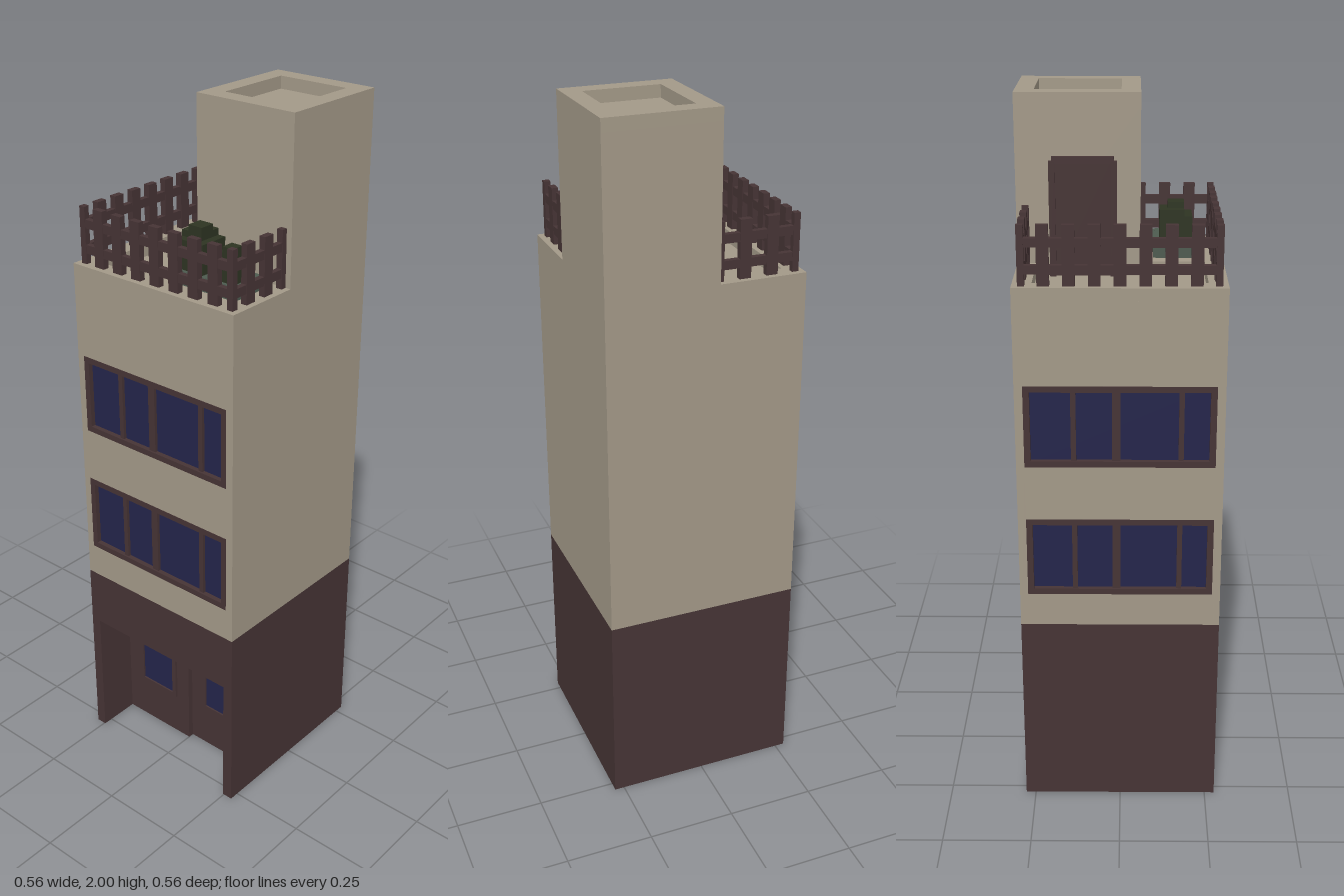
import * as THREE from 'three';

const HALF = 0.278, BASE_TOP = 0.573, ROOF = 1.55, UNIT = 0.017, SINK = 0.034;

const paint = (name, color) => {
  const m = new THREE.MeshStandardMaterial({ color });
  m.name = name;
  return m;
};

export function createModel() {
  const wall = paint('beige wall', 0xa39988);
  const brown = paint('dark brown', 0x463435);
  const glass = paint('navy glass', 0x24254b);
  const bed = paint('grey green planter', 0x4d5b50);
  const leaf = paint('dark leaf', 0x2d3422);

  const model = new THREE.Group();
  model.name = 'towerHouse';
  const group = (name, parent = model) => {
    const g = new THREE.Group();
    g.name = name;
    parent.add(g);
    return g;
  };
  const add = (name, geometry, material, parent = model) => {
    const m = new THREE.Mesh(geometry, material);
    m.name = name;
    parent.add(m);
    return m;
  };
  // Box given by its limits on each axis
  const box = (name, x0, x1, y0, y1, z0, z1, material, parent) => {
    const m = add(name, new THREE.BoxGeometry(x1 - x0, y1 - y0, z1 - z0), material, parent);
    m.position.set((x0 + x1) / 2, (y0 + y1) / 2, (z0 + z1) / 2);
    return m;
  };
  const rect = (Type, a0, a1, b0, b1) => {
    const p = new Type();
    p.moveTo(a0, b0);
    p.lineTo(a1, b0);
    p.lineTo(a1, b1);
    p.lineTo(a0, b1);
    p.closePath();
    return p;
  };
  // Plan shape (x, z) raised from y0 to y1
  const plan = (name, shape, y0, y1, material) => {
    const geo = new THREE.ExtrudeGeometry(shape, { depth: y1 - y0, bevelEnabled: false });
    geo.rotateX(Math.PI / 2).translate(0, y1, 0);
    return add(name, geo, material);
  };

  // Ground floor with the entrance recess on the -x side
  const foot = new THREE.Shape([
    [-HALF, -HALF], [HALF, -HALF], [HALF, HALF], [-HALF, HALF],
    [-HALF, 0.247], [-0.135, 0.247], [-0.135, -0.247], [-HALF, -0.247],
  ].map(([x, z]) => new THREE.Vector2(x, z)));
  plan('groundFloor', foot, 0, 0.4, brown);
  box('groundFloorTop', -HALF, HALF, 0.4, BASE_TOP, -HALF, HALF, brown);

  // Pair of sliding entrance doors, one leaf in front of the other
  for (const side of [-1, 1]) {
    const door = group(side < 0 ? 'frontDoorLeaf' : 'rearDoorLeaf');
    const x = side < 0 ? -0.152 : -0.135;
    const mid = side * 0.121;
    if (side < 0) box('leaf', x, -0.135, 0, 0.4, -0.247, 0, brown, door);
    box('doorGlass', x - 0.003, x, 0.15, 0.31, mid - 0.061, mid + 0.061, glass, door);
    for (const s of [-1, 1]) {
      const z = mid + s * 0.067;
      box('glassTrim', x - 0.008, x, 0.137, 0.323, z - 0.007, z + 0.007, brown, door);
      const y = 0.23 + s * 0.087;
      box('glassTrim', x - 0.008, x, y - 0.007, y + 0.007, mid - 0.061, mid + 0.061, brown, door);
    }
  }

  // Upper floors: solid core plus two walls pierced by window bands
  const inner = HALF - UNIT;
  box('upperFloors', -inner, HALF, BASE_TOP, ROOF - SINK, -inner, HALF, wall);
  const rows = [[0.67, 0.9], [1.055, 1.285]];
  for (const [name, turn] of [['backWall', Math.PI], ['leftWall', -Math.PI / 2]]) {
    const side = group(name);
    const shape = rect(THREE.Shape, -HALF, HALF, BASE_TOP, ROOF - SINK);
    rows.forEach(([y0, y1]) => shape.holes.push(rect(THREE.Path, -0.255, 0.255, y0, y1)));
    const geo = new THREE.ExtrudeGeometry(shape, { depth: UNIT, bevelEnabled: false });
    add('wallPanel', geo.translate(0, 0, HALF - UNIT), wall, side);
    for (const [y0, y1] of rows) {
      const win = group('windowBand', side);
      box('glass', -0.255, 0.255, y0, y1, inner, inner + 0.004, glass, win);
      for (const y of [y0, y1 - UNIT]) {
        box('rail', -0.255, 0.255, y, y + UNIT, inner, HALF + 0.001, brown, win);
      }
      for (const u of [-0.247, 0.247]) {
        box('jamb', u - 0.0085, u + 0.0085, y0, y1, inner, HALF + 0.001, brown, win);
      }
      for (const [u, w] of [[-0.124, 0.014], [-0.01, 0.022], [0.163, 0.014]]) {
        box('mullion', u - w / 2, u + w / 2, y0, y1, inner, HALF - 0.004, brown, win);
      }
    }
    side.rotation.y = turn;
  }

  // Roof terrace with a sunken field
  const terrace = rect(THREE.Shape, -HALF, HALF, -HALF, HALF);
  terrace.holes.push(rect(THREE.Path, -0.227, 0.227, -0.23, -0.018));
  plan('terrace', terrace, ROOF - SINK, ROOF, wall);

  // Stair tower with a sunken roof and a door to the terrace
  const TX = -0.053, TZ = -0.035;
  box('stairTower', TX, HALF, ROOF - SINK, 2 - SINK, TZ, HALF, wall);
  const rim = rect(THREE.Shape, TX, HALF, TZ, HALF);
  rim.holes.push(rect(THREE.Path, -0.002, 0.227, 0.016, 0.227));
  plan('towerRim', rim, 2 - SINK, 2, wall);
  const roofDoor = group('roofDoor');
  box('doorPanel', 0.027, 0.173, ROOF - SINK, 1.82, TZ - 0.003, TZ, brown, roofDoor);
  for (const x of [0.01, 0.173]) {
    box('doorJamb', x, x + UNIT, ROOF - SINK, 1.825, TZ - 0.012, TZ, brown, roofDoor);
  }
  box('doorHead', 0.018, 0.182, 1.82, 1.837, TZ - 0.012, TZ, brown, roofDoor);

  // Picket fence runs: start, end (x, z) along the terrace edge
  const fence = (name, ax, az, bx, bz) => {
    const g = group(name);
    const length = Math.hypot(bx - ax, bz - az);
    for (const y of [1.58, 1.65]) {
      box('fenceRail', 0, length, y, y + 0.024, -0.008, 0.008, brown, g);
    }
    const count = Math.round(length / 0.0685);
    for (let i = 0; i <= count; i++) {
      const c = (i * length) / count;
      const u0 = Math.max(0, c - 0.016), u1 = Math.min(length, c + 0.016);
      box('picket', u0, u1, ROOF, 1.708, -0.009, 0.009, brown, g);
    }
    g.position.set(ax, 0, az);
    g.rotation.y = -Math.atan2(bz - az, bx - ax);
  };
  const E = 0.253;
  fence('backFence', -0.262, -E, 0.262, -E);
  fence('rightFence', E, -0.262, E, TZ);
  fence('leftFence', -E, -0.262, -E, 0.262);
  fence('frontFence', -0.262, E, TX, E);

  // Planter with clipped corners
  const planter = group('planter');
  box('planterLong', -0.202, -0.095, ROOF, 1.584, 0.017, 0.225, bed, planter);
  box('planterWide', -0.21, -0.088, ROOF, 1.583, 0.024, 0.218, bed, planter);

  // Blocky bushes: a body with smaller lumps on top
  const bush = (name, x0, x1, z0, z1, top) => {
    const g = group(name);
    const w = (x1 - x0) / 4, d = (z1 - z0) / 4;
    box('bushBody', x0, x1, 1.583, top - 0.035, z0, z1, leaf, g);
    box('bushMiddle', x0 + w, x1, top - 0.035, top - 0.017, z0, z1 - d, leaf, g);
    box('bushTop', x0 + w, x1 - w, top - 0.017, top, z0 + d, z1 - d, leaf, g);
  };
  bush('largeBush', -0.193, -0.105, 0.017, 0.105, 1.7);
  bush('smallBush', -0.193, -0.122, 0.139, 0.208, 1.67);

  return model;
}
